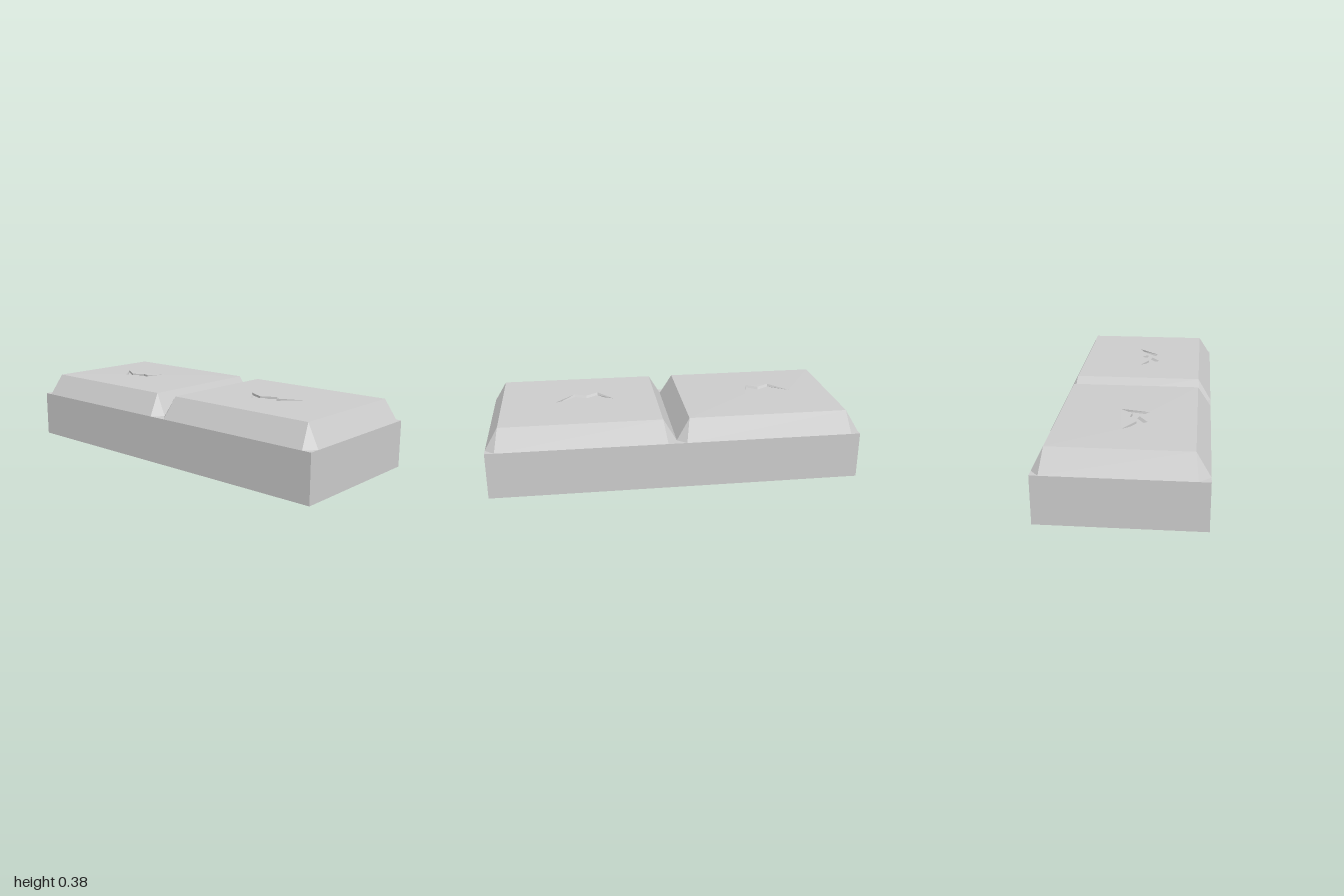
import * as THREE from 'three';

const BASE_TOP = 0.256, TOP = 0.373, HALF = 0.4175;

// Bolt outlines as [x, z]; points 1-3 form the sloped left edge
const BOLTS = {
  front: [[0.01, 0.31], [-0.1, 0.395], [-0.055, 0.46], [-0.085, 0.525],
    [0.035, 0.635], [-0.025, 0.505], [0.01, 0.485], [-0.035, 0.4]],
  back: [[0.02, -0.71], [-0.1, -0.61], [-0.055, -0.54], [-0.1, -0.48],
    [0.05, -0.445], [-0.015, -0.505], [-0.005, -0.545], [-0.045, -0.605]],
};

const toVectors = (pts) => pts.map(([x, z]) => new THREE.Vector2(x, -z));

function fromTriangles(points) {
  const g = new THREE.BufferGeometry();
  g.setAttribute('position', new THREE.Float32BufferAttribute(points.flat(), 3));
  g.computeVertexNormals();
  return g;
}

// Sloping sides with a small triangular facet at each corner
function bevelGeometry(z0) {
  const ring = [
    { a: [0.375, 1], b: [HALF, 0.95], t: [0.358, 0.93] },
    { a: [HALF, 0.05], b: [0.375, 0], t: [0.358, 0.07] },
    { a: [-0.36, 0], b: [-HALF, 0.05], t: [-0.345, 0.07] },
    { a: [-HALF, 0.95], b: [-0.36, 1], t: [-0.345, 0.93] },
  ];
  const at = ([x, z], y) => [x, y, z + z0];
  const tris = [];
  ring.forEach((c, i) => {
    const n = ring[(i + 1) % 4];
    const a = at(c.a, BASE_TOP), b = at(c.b, BASE_TOP), t = at(c.t, TOP);
    const na = at(n.a, BASE_TOP), nt = at(n.t, TOP);
    tris.push(a, b, t, b, na, nt, b, nt, t);
  });
  return fromTriangles(tris);
}

// Top panel with the bolt cut out, its cut edge lifted to rimY
function panelGeometry(z0, bolt, rimY) {
  const shape = new THREE.Shape(toVectors([
    [0.358, z0 + 0.93], [0.358, z0 + 0.07], [-0.345, z0 + 0.07], [-0.345, z0 + 0.93]]));
  shape.holes.push(new THREE.Path(toVectors(bolt)));
  const g = new THREE.ShapeGeometry(shape).rotateX(-Math.PI / 2);
  const p = g.attributes.position;
  for (let i = 0; i < p.count; i++) p.setY(i, Math.abs(p.getX(i)) < 0.2 ? rimY : TOP);
  return g;
}

export function createModel() {
  const model = new THREE.Group();
  const grey = new THREE.MeshStandardMaterial({ color: 0xcccccc, flatShading: true });
  const thin = new THREE.MeshStandardMaterial({
    color: 0xcccccc, flatShading: true, side: THREE.DoubleSide });
  const add = (parent, name, geometry, material = grey) => {
    const mesh = new THREE.Mesh(geometry, material);
    mesh.name = name;
    parent.add(mesh);
  };

  // Solid lower slab
  add(model, 'base', new THREE.BoxGeometry(HALF * 2, BASE_TOP, 2).translate(0, BASE_TOP / 2, 0));

  // Two bevelled segments, separated by a V groove
  for (const [name, z0, rimY] of [['front', 0, TOP], ['back', -1, 0.378]]) {
    const segment = new THREE.Group();
    segment.name = name + 'Segment';
    const bolt = BOLTS[name];
    const floor = bolt.map(([x, z], i) => [i >= 1 && i <= 3 ? x + 0.012 : x, z]);
    const floorY = rimY - 0.012;

    add(segment, name + 'Bevel', bevelGeometry(z0));
    add(segment, name + 'Panel', panelGeometry(z0, bolt, rimY));

    // Shallow engraved bolt: walls and floor
    const walls = [];
    bolt.forEach(([x, z], i) => {
      const j = (i + 1) % bolt.length;
      const a = [x, rimY, z], b = [bolt[j][0], rimY, bolt[j][1]];
      const c = [floor[j][0], floorY, floor[j][1]], d = [floor[i][0], floorY, floor[i][1]];
      walls.push(a, b, c, a, c, d);
    });
    add(segment, name + 'BoltWalls', fromTriangles(walls), thin);
    add(segment, name + 'BoltFloor', new THREE.ShapeGeometry(new THREE.Shape(toVectors(floor)))
      .rotateX(-Math.PI / 2).translate(0, floorY, 0), thin);
    model.add(segment);
  }
  return model;
}
